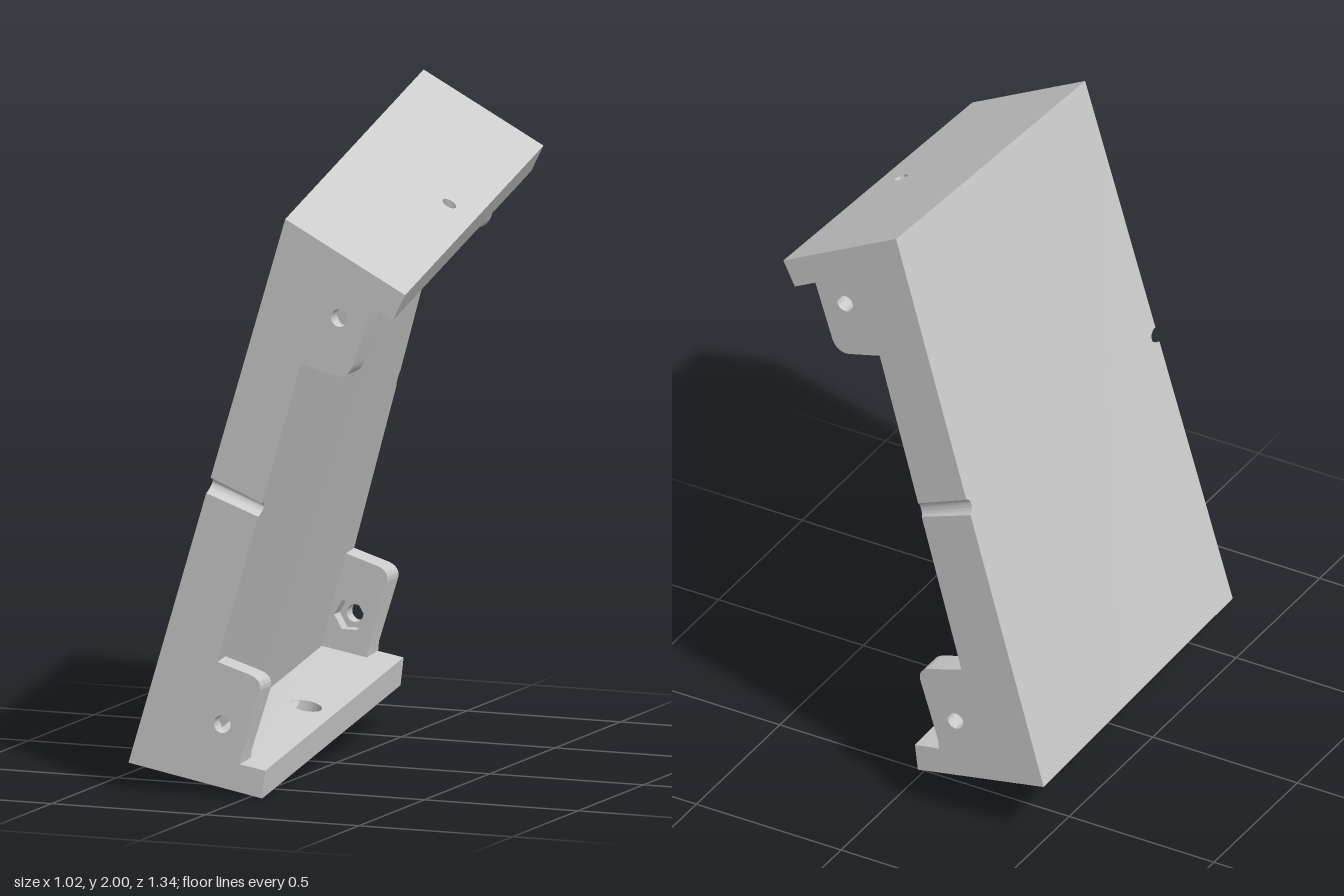
import * as THREE from 'three';
import { toCreasedNormals } from 'three/addons/utils/BufferGeometryUtils.js';

const HALF = 0.67; // half depth along z
const V = (x, y, z = 0) => new THREE.Vector3(x, y, z);

// Corners of the C-shaped section at the front end
const S = {
  topOuter: V(0.12, 1.765), topTip: V(0.51, 1.56), topTipIn: V(0.47, 1.48), topInner: V(0.25, 1.595),
  lowOuter: V(-0.39, 0.08), lowTip: V(0.045, 0), lowTipIn: V(0.055, 0.085), lowInner: V(-0.183, 0.126),
};
// How far each end of the section drifts from front to back
const TOP_SHIFT = V(-0.12, 0.235), LOW_SHIFT = V(-0.12, 0.125);

const material = new THREE.MeshStandardMaterial({ color: 0xcccccc });

function addMesh(parent, name, geometry, crease = 0.5) {
  const mesh = new THREE.Mesh(toCreasedNormals(geometry, crease), material);
  mesh.name = name;
  parent.add(mesh);
  return mesh;
}

// Point of the section carried back to depth z
const carry = (p, shift, z) => p.clone().addScaledVector(shift, (HALF - z) / (2 * HALF)).setZ(z);

function polygonHole(x, y, r, sides) {
  const path = new THREE.Path();
  for (let i = 0; i <= sides; i++) {
    const a = (i / sides) * Math.PI * 2;
    path[i ? 'lineTo' : 'moveTo'](x + r * Math.cos(a), y + r * Math.sin(a));
  }
  return path;
}

// Gently twisted main plate with a screw groove in each side edge
function plateGeometry() {
  const mid = 0.51, half = 0.014, n = 12;
  const rows = [];
  for (let i = 0; i <= 12; i++) {
    const b = i / 12;
    if (Math.abs(b - mid) > half + 0.002) rows.push(b);
  }
  for (let i = 0; i <= 14; i++) rows.push(mid - half * Math.cos((i / 14) * Math.PI));
  rows.sort((a, b) => a - b);

  const pos = [], index = [], ring = 2 * (n + 1);
  rows.forEach((b, r) => {
    const groove = Math.sqrt(Math.max(0, 1 - ((b - mid) / half) ** 2));
    for (let k = 0; k < ring; k++) {
      const outer = k <= n;
      const s = outer ? k / n : (ring - 1 - k) / n;
      const front = HALF - 0.04 * groove;
      const back = -HALF + (outer ? 0.022 : 0.008) * groove;
      const z = THREE.MathUtils.lerp(front, back, s);
      const low = carry(outer ? S.lowOuter : S.lowInner, LOW_SHIFT, z);
      const top = carry(outer ? S.topOuter : S.topInner, TOP_SHIFT, z);
      pos.push(...low.lerp(top, b).toArray());
      if (r === 0) continue;
      const k2 = (k + 1) % ring, a0 = (r - 1) * ring, b0 = r * ring;
      index.push(a0 + k, b0 + k, a0 + k2, b0 + k, b0 + k2, a0 + k2);
    }
  });
  const g = new THREE.BufferGeometry();
  g.setAttribute('position', new THREE.Float32BufferAttribute(pos, 3));
  g.setIndex(index);
  return g;
}

// Half the thickness of a flange, mitred where it meets the plate
function flangeLayer(root, tip, tipIn, rootIn, shift, t0, holeRadius, flip) {
  const length = root.distanceTo(tip);
  const shape = new THREE.Shape([
    new THREE.Vector2(0, -HALF), new THREE.Vector2(length, -HALF),
    new THREE.Vector2(length, HALF), new THREE.Vector2(0, HALF),
  ]);
  shape.holes.push(polygonHole(0.347, -0.005, holeRadius, 32));
  const g = new THREE.ExtrudeGeometry(shape, { depth: 0.5, bevelEnabled: false });
  const p = g.attributes.position;
  const along = tip.clone().sub(root).normalize();
  const thick = tipIn.clone().sub(tip), mitre = rootIn.clone().sub(root);
  for (let i = 0; i < p.count; i++) {
    const a = p.getX(i), z = p.getY(i), t = p.getZ(i) + t0;
    const q = carry(root, shift, z).addScaledVector(along, a).addScaledVector(a < 1e-5 ? mitre : thick, t);
    p.setXYZ(i, q.x, q.y, q.z);
  }
  if (flip) {
    for (let i = 0; i < p.count; i += 3) {
      const u = V(0, 0).fromBufferAttribute(p, i + 1), w = V(0, 0).fromBufferAttribute(p, i + 2);
      p.setXYZ(i + 1, w.x, w.y, w.z);
      p.setXYZ(i + 2, u.x, u.y, u.z);
    }
  }
  return g;
}

function addFlange(parent, name, corners, shift, flip) {
  const flange = new THREE.Group();
  flange.name = name;
  addMesh(flange, name + 'Outer', flangeLayer(...corners, shift, 0, 0.023, flip));
  addMesh(flange, name + 'Counterbore', flangeLayer(...corners, shift, 0.5, 0.05, flip));
  parent.add(flange);
}

// Corner tab outlines, reaching slightly into plate and flange
function upperTab() {
  const s = new THREE.Shape();
  s.moveTo(0.14, 1.338);
  s.lineTo(0.275, 1.302);
  s.quadraticCurveTo(0.325, 1.288, 0.342, 1.34);
  s.lineTo(0.4, 1.52);
  s.lineTo(0.405, 1.54);
  s.lineTo(0.24, 1.63);
  return s;
}
function lowerTab() {
  const s = new THREE.Shape();
  s.moveTo(-0.21, 0.1);
  s.lineTo(-0.03, 0.08);
  s.lineTo(-0.025, 0.13);
  s.lineTo(0.037, 0.325);
  s.quadraticCurveTo(0.045, 0.36, 0.005, 0.373);
  s.lineTo(-0.106, 0.407);
  s.lineTo(-0.136, 0.416);
  return s;
}

// Tab with a round screw hole outside and a hexagonal nut pocket inside
function addTab(parent, name, outline, hole, shift, isFront) {
  const tab = new THREE.Group();
  tab.name = name;
  const depth = 0.0425;
  [['ScrewHole', 0.027, 28], ['NutPocket', 0.05, 6]].forEach(([label, r, sides], layer) => {
    const shape = outline();
    shape.holes.push(polygonHole(hole[0], hole[1], r, sides));
    const g = new THREE.ExtrudeGeometry(shape, { depth, bevelEnabled: false, curveSegments: 10 });
    const mesh = addMesh(tab, name + label, g);
    mesh.position.z = isFront ? HALF - depth * (layer + 1) : -HALF + depth * layer;
  });
  if (!isFront) tab.position.copy(shift);
  parent.add(tab);
}

export function createModel() {
  const model = new THREE.Group();
  model.name = 'cornerBracket';

  addMesh(model, 'mainPlate', plateGeometry());
  addFlange(model, 'topFlange', [S.topOuter, S.topTip, S.topTipIn, S.topInner], TOP_SHIFT, false);
  addFlange(model, 'bottomFlange', [S.lowOuter, S.lowTip, S.lowTipIn, S.lowInner], LOW_SHIFT, true);

  for (const isFront of [true, false]) {
    const side = isFront ? 'front' : 'back';
    addTab(model, side + 'UpperTab', upperTab, [0.296, 1.476], TOP_SHIFT, isFront);
    addTab(model, side + 'LowerTab', lowerTab, [-0.085, 0.217], LOW_SHIFT, isFront);
  }
  return model;
}
